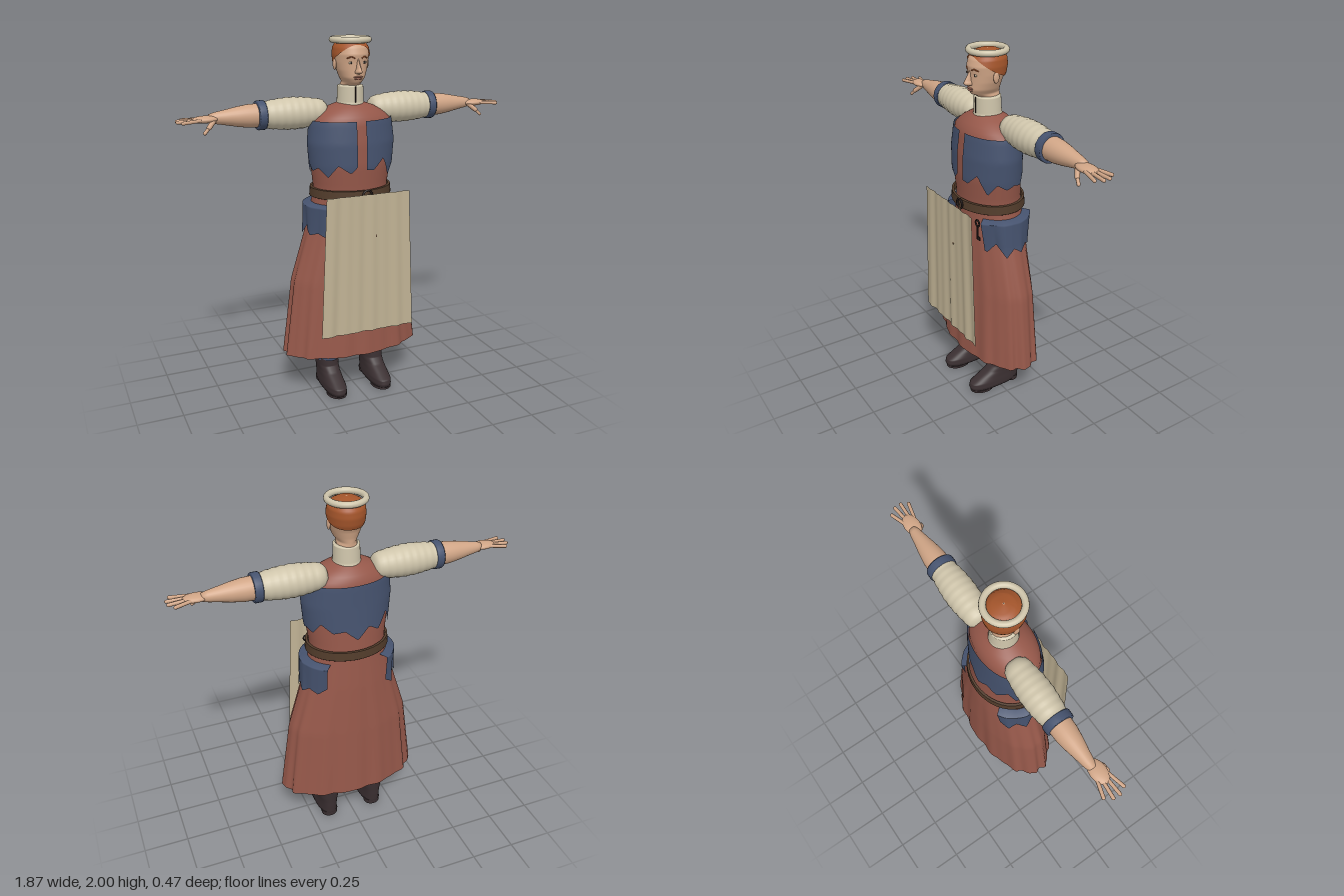
import * as THREE from 'three';

const paint = (name, color, side = THREE.FrontSide) => {
  const m = new THREE.MeshStandardMaterial({ color, side });
  m.name = name;
  return m;
};
const rust = paint('rust cloth', 0x96584a, THREE.DoubleSide);
const blue = paint('blue cloth', 0x46536f, THREE.DoubleSide);
const cream = paint('cream linen', 0xcfc5ab, THREE.DoubleSide);
const canvas = paint('apron canvas', 0xc0b294, THREE.DoubleSide);
const skin = paint('skin', 0xd0a586);
const ginger = paint('ginger hair', 0xa4552b, THREE.DoubleSide);
const boot = paint('boot leather', 0x3a2f31, THREE.DoubleSide);
const leather = paint('belt leather', 0x523c2b, THREE.DoubleSide);
const dark = paint('dark metal', 0x241b1a);
const lipRed = paint('lips', 0xa9705e);

// Profiles: rows of [y, half width, front z, back z]
const DRESS = [
  [0.25, 0.4, 0.175, -0.228], [0.68, 0.345, 0.152, -0.215], [0.97, 0.258, 0.14, -0.2],
  [1.12, 0.222, 0.135, -0.188], [1.2, 0.21, 0.135, -0.182], [1.33, 0.228, 0.145, -0.172],
  [1.45, 0.238, 0.142, -0.166], [1.57, 0.225, 0.128, -0.162], [1.61, 0.175, 0.105, -0.145],
  [1.64, 0.12, 0.07, -0.115], [1.66, 0.06, 0.04, -0.08]];
const HEAD = [
  [1.7, 0.054, 0.035, -0.085], [1.752, 0.052, 0.045, -0.085], [1.765, 0.048, 0.078, -0.085],
  [1.79, 0.065, 0.09, -0.086], [1.83, 0.08, 0.088, -0.095], [1.87, 0.09, 0.088, -0.113],
  [1.91, 0.094, 0.093, -0.12], [1.945, 0.09, 0.082, -0.116], [1.97, 0.074, 0.06, -0.098],
  [1.985, 0.048, 0.03, -0.068], [1.992, 0.001, -0.017, -0.019]];

// Point on a profile; angle 0 faces forward and a quarter turn faces +x
function at(profile, a, y, off = 0, fold = 0, power = 1) {
  let i = 0;
  while (i < profile.length - 2 && y > profile[i + 1][0]) i++;
  const p = profile[i], q = profile[i + 1];
  const t = THREE.MathUtils.clamp((y - p[0]) / (q[0] - p[0]), 0, 1);
  const [, rx, zf, zb] = p.map((v, k) => v + (q[k] - v) * t);
  const f = 1 + fold * THREE.MathUtils.clamp((1.2 - y) / 0.9, 0, 1) * (Math.sin(13 * a) + 0.6 * Math.sin(22 * a + 1)) / 1.6;
  const bend = v => Math.sign(v) * Math.abs(v) ** power;
  return [(rx + off) * f * bend(Math.sin(a)), y, (zf + zb) / 2 + ((zf - zb) / 2 + off) * f * bend(Math.cos(a))];
}

// Surface that follows a profile between two angles and two height rules
function wrap(profile, { from = 0, to = Math.PI * 2, low, high, off = () => 0, cols = 48, rows = 24, fold = 0, power = 1 }) {
  const pos = [], idx = [], closed = to - from > 6.28, n = closed ? cols : cols + 1;
  for (let j = 0; j <= rows; j++) for (let i = 0; i < n; i++) {
    const a = from + (to - from) * i / cols, v = j / rows, y0 = low(a);
    pos.push(...at(profile, a, y0 + (high(a) - y0) * v, off(v), fold, power));
  }
  for (let j = 0; j < rows; j++) for (let i = 0; i < cols; i++) {
    const a = j * n + i, b = j * n + (i + 1) % n;
    idx.push(a, b, b + n, a, b + n, a + n);
  }
  const g = new THREE.BufferGeometry();
  g.setAttribute('position', new THREE.Float32BufferAttribute(pos, 3));
  g.setIndex(idx);
  g.computeVertexNormals();
  return g;
}
const loft = (profile, opts = {}) => wrap(profile, {
  low: () => profile[0][0], high: () => profile[profile.length - 1][0], ...opts });

// Torn hem: uneven zigzag around a base height
const ragged = (base, size, freq) => a => {
  const u = a * freq, k = Math.floor(u), t = u - k;
  const h = n => { const s = Math.sin(n * 12.99) * 437.58; return s - Math.floor(s); };
  return base + size * (h(k) * (1 - t) + h(k + 1) * t + (k % 2 ? t : 1 - t) - 1);
};

export function createModel() {
  const root = new THREE.Group();
  root.name = 'villager';
  const add = (name, geo, mat, x = 0, y = 0, z = 0) => {
    const m = new THREE.Mesh(geo, mat);
    m.name = name;
    m.position.set(x, y, z);
    root.add(m);
    return m;
  };
  const ball = (name, mat, x, y, z, sx, sy, sz) =>
    add(name, new THREE.SphereGeometry(1, 16, 12), mat, x, y, z).scale.set(sx, sy, sz);
  const rod = (name, mat, p, q, r) => {
    const a = new THREE.Vector3(...p), b = new THREE.Vector3(...q), d = b.clone().sub(a);
    const m = add(name, new THREE.CapsuleGeometry(r, d.length(), 4, 8), mat);
    m.position.copy(a).add(b).multiplyScalar(0.5);
    m.quaternion.setFromUnitVectors(new THREE.Vector3(0, 1, 0), d.normalize());
  };

  // Dress with torn bodice and belt
  add('dress', loft(DRESS, { cols: 128, rows: 60, fold: 0.035 }), rust);
  add('bodice', wrap(DRESS, { from: 0.1, to: Math.PI * 2 - 0.12, low: ragged(1.315, 0.055, 3.5),
    high: () => 1.572, off: () => 0.009, cols: 132, rows: 16 }), blue);
  const BELT = [[1.155, 0.222, 0.158, -0.2], [1.156, 0.232, 0.165, -0.208],
    [1.204, 0.228, 0.163, -0.205], [1.205, 0.215, 0.15, -0.193]];
  add('belt', loft(BELT, { rows: 50 }), leather);
  add('buckle', new THREE.TorusGeometry(0.026, 0.006, 6, 16), dark, 0.02, 1.18, 0.17);
  rod('beltTail', leather, [0.03, 1.18, 0.17], [0.045, 0.965, 0.226], 0.007);

  // Key hanging from the belt
  add('keyRing', new THREE.TorusGeometry(0.018, 0.005, 6, 16), dark, 0.17, 1.12, 0.152);
  rod('keyShaft', dark, [0.17, 1.1, 0.152], [0.17, 1.03, 0.152], 0.005);
  add('keyBit', new THREE.BoxGeometry(0.024, 0.02, 0.006), dark, 0.182, 1.035, 0.152);

  // Apron panel with soft vertical folds
  const apron = new THREE.PlaneGeometry(1, 1, 48, 12), ap = apron.attributes.position;
  for (let i = 0; i < ap.count; i++) {
    const u = ap.getX(i), v = ap.getY(i) + 0.5;
    ap.setXYZ(i, u * (0.545 - 0.07 * v), 0.42 + 0.78 * v,
      0.23 + (0.007 - 0.003 * v) * Math.sin(u * 34) * Math.cos(u * 9));
  }
  apron.computeVertexNormals();
  add('apron', apron, canvas);

  // Head, hair and cap ring
  add('head', loft(HEAD, { rows: 50 }), skin);
  add('hair', wrap(HEAD, { low: a => 1.893 + 0.055 * Math.cos(a) + 0.012 * Math.cos(2 * a), high: () => 1.992,
    off: v => 0.006 * (1 - v * 0.3), rows: 20 }), ginger);
  add('headRing', new THREE.TorusGeometry(0.096, 0.017, 12, 40), cream, 0, 1.983, -0.018).rotation.x = Math.PI / 2;
  add('nose', loft([[1.811, 0.004, 0.1, 0.07], [1.815, 0.017, 0.116, 0.06], [1.826, 0.018, 0.125, 0.06],
    [1.838, 0.012, 0.119, 0.06], [1.865, 0.008, 0.103, 0.06], [1.89, 0.006, 0.09, 0.06]],
  { cols: 16, rows: 16 }), skin);
  ball('upperLip', lipRed, 0, 1.797, 0.088, 0.026, 0.005, 0.008);
  ball('lowerLip', lipRed, 0, 1.787, 0.087, 0.021, 0.006, 0.008);
  add('collar', loft([[1.63, 0.08, 0.062, -0.105], [1.66, 0.072, 0.054, -0.095], [1.745, 0.069, 0.053, -0.09],
    [1.75, 0.055, 0.043, -0.08]], { rows: 24 }), cream);
  add('collarSeam', new THREE.BoxGeometry(0.005, 0.085, 0.006), dark, 0, 1.702, 0.0535);

  for (const s of [1, -1]) {
    // Eyes, brows and ears
    const eye = at(HEAD, s * 0.43, 1.87);
    ball('eye', cream, eye[0], 1.87, eye[2], 0.014, 0.006, 0.004);
    ball('iris', dark, eye[0], 1.87, eye[2] + 0.002, 0.006, 0.006, 0.004);
    const brow = [0.2, 0.4, 0.65].map((a, i) =>
      new THREE.Vector3(...at(HEAD, s * a, [1.892, 1.9, 1.892][i], 0.001)));
    add('brow', new THREE.TubeGeometry(new THREE.CatmullRomCurve3(brow), 10, 0.0035, 6), ginger);
    ball('ear', skin, s * 0.092, 1.858, -0.012, 0.009, 0.03, 0.017);

    // Hip pouches with torn lower edges
    add('hipCloth', wrap(DRESS, { from: s * Math.PI / 2 - 0.88, to: s * Math.PI / 2 + 0.88,
      low: a => ragged(0.955, 0.05, 4)(a + 7), high: () => 1.12, cols: 60, rows: 20, fold: 0.035,
      off: v => v === 1 ? 0 : 0.01 + 0.037 * v }), blue);

    // Arm pieces turned around the x axis
    const limb = (name, mat, rows) => {
      const pts = rows.map(([x, r]) => new THREE.Vector2(r, x));
      add(name, new THREE.LatheGeometry(pts, 28), mat, 0, 1.608, -0.057).rotation.z = -s * Math.PI / 2;
    };
    const puff = [[0.125, 0], [0.13, 0.045], [0.15, 0.064]];
    for (let i = 0; i <= 28; i++) {
      const t = i / 28;
      puff.push([0.17 + 0.3 * t, 0.07 + 0.015 * Math.sin(Math.PI * t) + 0.0015 * Math.sin(i * 1.6)]);
    }
    limb('sleeve', cream, puff);
    limb('cuff', blue, [[0.47, 0.06], [0.47, 0.074], [0.475, 0.077], [0.508, 0.077], [0.513, 0.074], [0.513, 0.055]]);
    limb('forearm', skin, [[0.5, 0.062], [0.56, 0.06], [0.62, 0.051], [0.68, 0.039], [0.735, 0.029], [0.76, 0.022], [0.77, 0]]);

    // Hand with spread fingers
    ball('palm', skin, s * 0.785, 1.606, -0.045, 0.07, 0.019, 0.043);
    for (let k = 0; k < 4; k++) {
      const tip = [0.895, 0.922, 0.925, 0.905][k];
      rod('finger', skin, [s * 0.815, 1.606, -0.073 + 0.02 * k], [s * tip, 1.602, -0.098 + 0.036 * k], 0.0095);
    }
    rod('thumb', skin, [s * 0.745, 1.598, -0.025], [s * 0.775, 1.57, 0.0], 0.013);
    rod('thumbTip', skin, [s * 0.775, 1.57, 0.0], [s * 0.8, 1.545, 0.01], 0.009);

    // Leg and boot
    const x = s * 0.14;
    add('trouserLeg', new THREE.CylinderGeometry(0.085, 0.064, 0.85, 24), blue, x, 0.595, -0.033);
    add('boot', wrap([[0.008, 0.001, 0.02, 0.018], [0.012, 0.056, 0.18, -0.13], [0.03, 0.061, 0.188, -0.138],
      [0.055, 0.06, 0.182, -0.14], [0.08, 0.057, 0.135, -0.142], [0.11, 0.056, 0.08, -0.143],
      [0.14, 0.059, 0.045, -0.145], [0.21, 0.062, 0.038, -0.15]],
    { low: () => 0.008, high: a => 0.193 - 0.015 * Math.cos(a), rows: 40, power: 0.8 }), boot, x);
    add('sole', new THREE.CylinderGeometry(1, 1, 0.014, 24), boot, x, 0.007, 0.105).scale.set(0.056, 1, 0.075);
    add('heel', new THREE.CylinderGeometry(1, 0.95, 0.03, 20), boot, x, 0.015, -0.092).scale.set(0.05, 1, 0.045);
  }
  return root;
}
